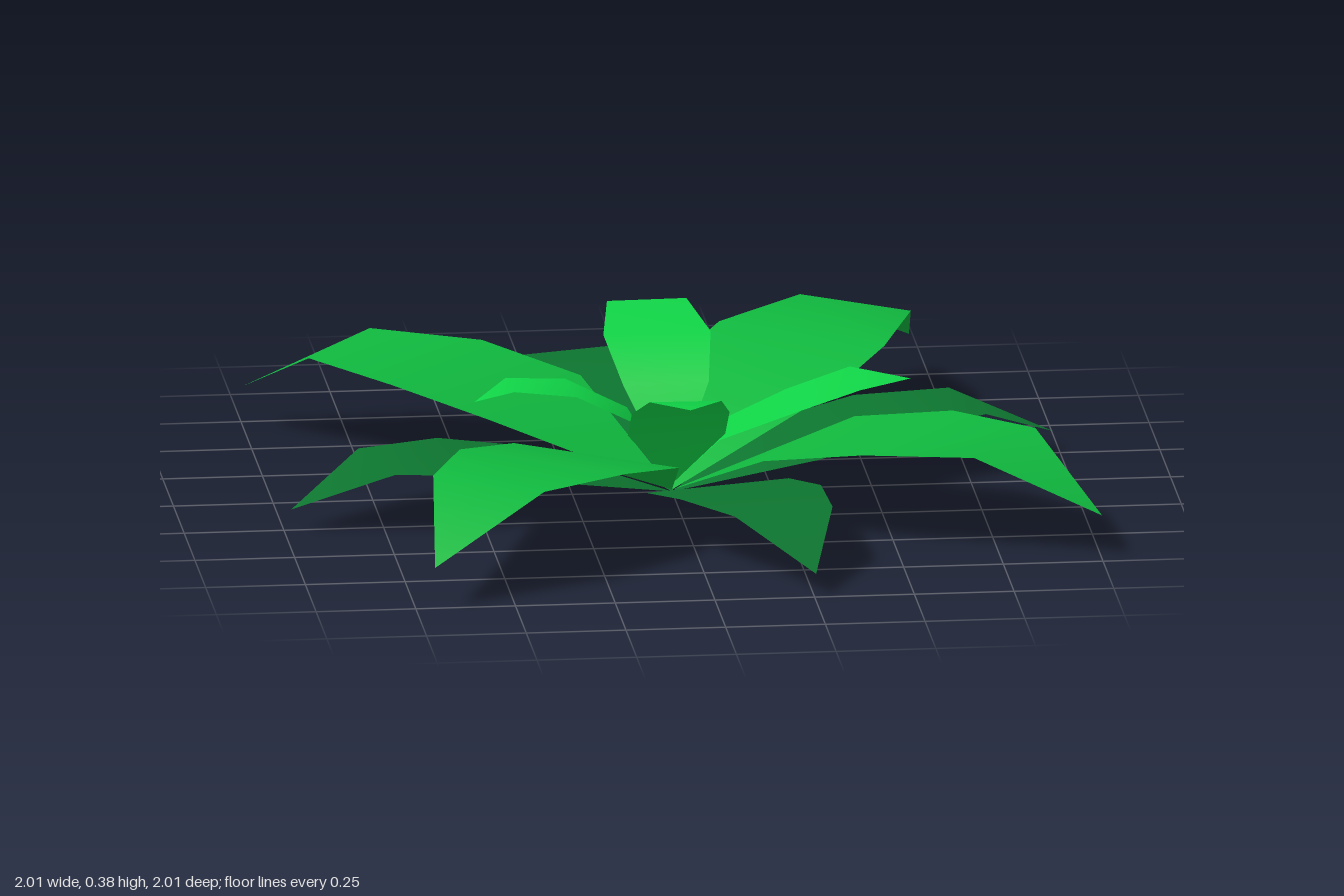
import * as THREE from 'three';

// A leaf is a strip bent along its length: rows of [reach, height, half width].
function leafGeometry(rows) {
  const pos = [], index = [];
  rows.forEach(([z, y, w], i) => {
    pos.push(-w, y, z, w, y, z);
    if (i === 0) return;
    const a = (i - 1) * 2, b = i * 2;
    if (i > 1) index.push(a, b + 1, a + 1);
    if (i < rows.length - 1 || i === 1) index.push(a, b, b + 1);
    else index.splice(index.length - 3, 3, a, b, a + 1);
  });
  const g = new THREE.BufferGeometry();
  g.setAttribute('position', new THREE.Float32BufferAttribute(pos, 3));
  g.setIndex(index);
  g.computeVertexNormals();
  return g;
}

const material = (name, color) => {
  const m = new THREE.MeshStandardMaterial({ color, side: THREE.DoubleSide });
  m.name = name;
  return m;
};

export function createModel() {
  const plant = new THREE.Group();
  plant.name = 'leafyPlant';
  const dark = material('darkGreen', 0x0d752f);
  const mid = material('midGreen', 0x10b83e);
  const bright = material('brightGreen', 0x10d346);

  // Place a leaf so that its tip points towards (x, z)
  const addLeaf = (name, rows, mat, x, z) => {
    const leaf = new THREE.Mesh(leafGeometry(rows), mat);
    leaf.name = name;
    leaf.rotation.y = Math.atan2(x, z);
    plant.add(leaf);
  };

  // Rings of four large middle leaves and four smaller low leaves
  const large = [[0, 0.005, 0], [0.39, 0.19, 0.235], [0.67, 0.243, 0.235], [0.947, 0.255, 0.158], [1.224, 0.105, 0]];
  const low = [[0, 0, 0], [0.32, 0.1, 0.19], [0.555, 0.145, 0.187], [0.787, 0.156, 0.13], [1.015, 0.055, 0]];
  const quarter = ([x, z], i) => [[x, z], [z, -x], [-x, -z], [-z, x]][i];
  for (let i = 0; i < 4; i++) {
    addLeaf('middleLeaf', large, mid, ...quarter([1, 0.7], i));
    addLeaf('lowLeaf', low, dark, ...quarter([0.255, 0.98], i));
  }

  // Young upright leaves in the centre, each with its own lean
  addLeaf('frontYoungLeaf', [[0, 0.02, 0], [0.15, 0.19, 0.122], [0.29, 0.285, 0.122], [0.45, 0.36, 0.09], [0.62, 0.385, 0]], bright, -0.02, 0.62);
  addLeaf('backYoungLeaf', [[0, 0.02, 0], [0.11, 0.25, 0.108], [0.27, 0.335, 0.135], [0.455, 0.37, 0.1], [0.56, 0.335, 0]], bright, -0.018, -0.56);
  addLeaf('leftYoungLeaf', [[0, 0.02, 0], [0.11, 0.15, 0.075], [0.3, 0.225, 0.108], [0.46, 0.277, 0.11], [0.6, 0.272, 0]], bright, 0.6, -0.01);
  addLeaf('rightYoungLeaf', [[0, 0.02, 0], [0.1, 0.2, 0.082], [0.255, 0.28, 0.086], [0.41, 0.295, 0.066], [0.5, 0.255, 0]], bright, -0.5, 0.03);
  return plant;
}
